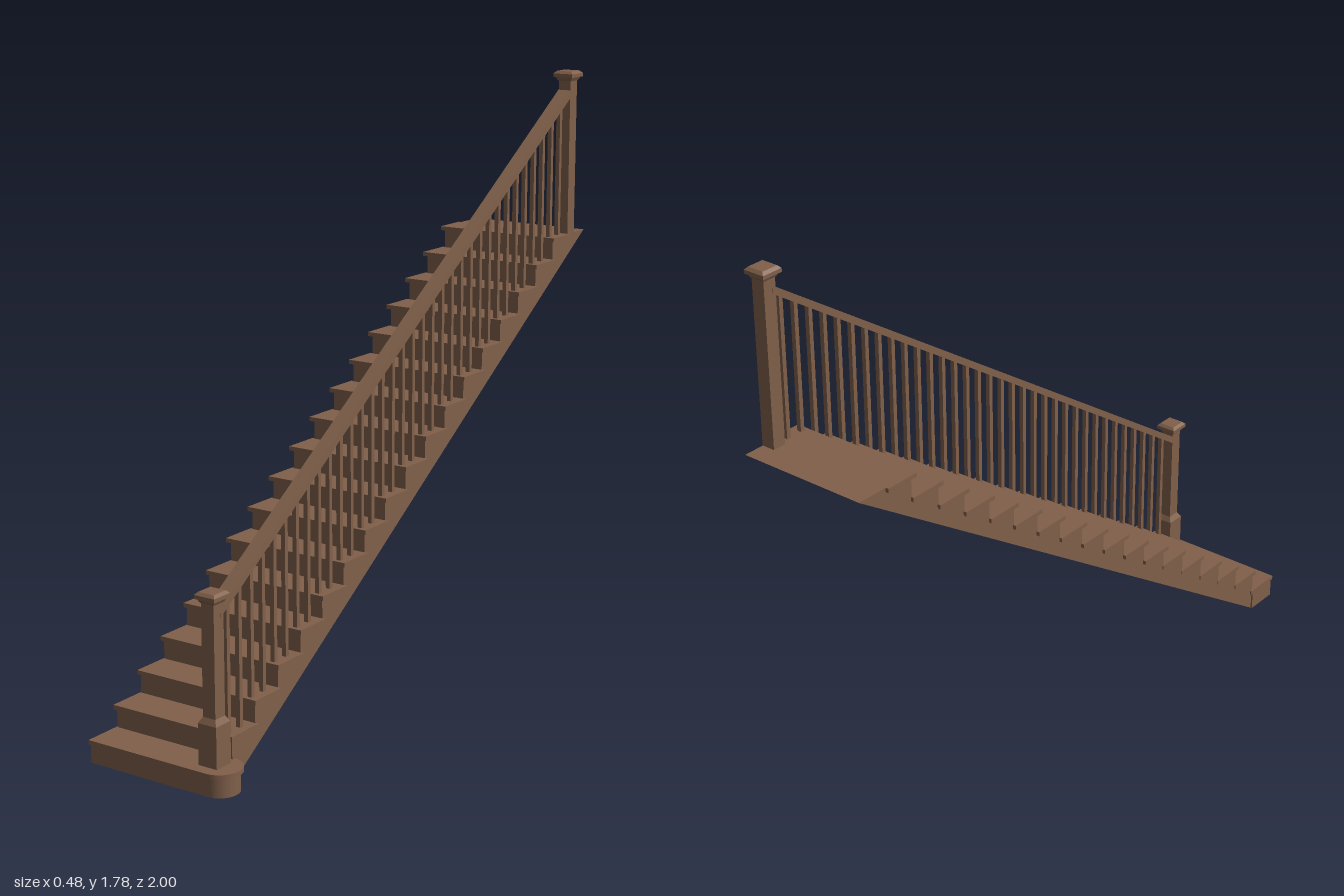
import * as THREE from 'three';

export function createModel() {
  const wood = new THREE.MeshStandardMaterial({ color: 0x80604a });
  wood.name = 'brown wood';
  const model = new THREE.Group();
  model.name = 'staircase';

  const STEPS = 18, RISE = 0.07, GO = 0.1053, NOSE = 0.011, THICK = 0.013;
  const RAIL_X = 0.15;
  const front = k => 0.895 - GO * (k - 2); // tread front edge of step k

  const add = (parent, name, geo, x = 0, y = 0, z = 0) => {
    const m = new THREE.Mesh(geo, wood);
    m.name = name;
    m.position.set(x, y, z);
    parent.add(m);
    return m;
  };
  const box = (parent, name, x0, x1, y0, y1, z0, z1) =>
    add(parent, name, new THREE.BoxGeometry(x1 - x0, y1 - y0, z1 - z0),
      (x0 + x1) / 2, (y0 + y1) / 2, (z0 + z1) / 2);

  // solid saw-tooth body with sloping underside, extruded across the width
  const pts = [[0.88, 0]];
  for (let k = 2; k <= STEPS; k++) {
    const z = front(k) - NOSE;
    if (k > 2) pts.push([z, RISE * (k - 1) - THICK / 2]);
    pts.push([z, RISE * k - THICK / 2]);
  }
  pts.push([-0.9, RISE * STEPS - THICK / 2], [-0.9, RISE * STEPS], [-1, RISE * STEPS]);
  const profile = new THREE.Shape(pts.map(([z, y]) => new THREE.Vector2(-z, y)));
  const bodyGeo = new THREE.ExtrudeGeometry(profile, { depth: 0.405, bevelEnabled: false });
  bodyGeo.rotateY(Math.PI / 2); // shape x becomes -z, depth becomes +x
  add(model, 'stairBody', bodyGeo, -0.235);

  // treads; the lowest ones stop flush at the wall side
  const treads = new THREE.Group();
  treads.name = 'treads';
  model.add(treads);
  for (let k = 2; k <= STEPS; k++) {
    const f = front(k), y = RISE * k;
    const back = k === STEPS ? -0.9 : f - 0.12;
    box(treads, 'tread', k <= 6 ? -0.238 : -0.245, 0.18, y - THICK, y, back, f);
  }

  // bottom step with a rounded end
  const roundedSlab = (inset, y0, y1) => {
    const r = 0.064 - inset, s = new THREE.Shape();
    s.moveTo(-0.24, -r);
    s.lineTo(0.171, -r);
    s.absarc(0.171, 0, r, -Math.PI / 2, Math.PI / 2, false);
    s.lineTo(-0.24, r);
    s.closePath();
    const g = new THREE.ExtrudeGeometry(s, { depth: y1 - y0, bevelEnabled: false, curveSegments: 16 });
    g.rotateX(-Math.PI / 2);
    return g.translate(0, y0, 0.936);
  };
  add(model, 'bottomStepRiser', roundedSlab(0.009, 0, RISE - THICK));
  add(model, 'bottomStepTread', roundedSlab(0, RISE - THICK, RISE));

  // square frustum with half-widths at bottom and top
  const frustum = (h0, h1, height) => {
    const g = new THREE.CylinderGeometry(h1 * Math.SQRT2, h0 * Math.SQRT2, height, 4, 1).toNonIndexed();
    g.rotateY(Math.PI / 4);
    g.computeVertexNormals();
    return g;
  };
  // newel post as stacked square sections: [y0, y1, half0, half1]
  const newel = (name, z, sections) => {
    const g = new THREE.Group();
    g.name = name;
    sections.forEach(([y0, y1, h0, h1, part]) =>
      add(g, part, frustum(h0, h1, y1 - y0), RAIL_X, (y0 + y1) / 2, z));
    model.add(g);
  };
  const cap = top => [
    [top - 0.031, top - 0.019, 0.023, 0.029, 'capMoulding'],
    [top - 0.019, top - 0.008, 0.034, 0.034, 'capPlate'],
    [top - 0.008, top, 0.034, 0.026, 'capTop'],
  ];
  newel('bottomNewel', 0.933, [
    [RISE, 0.19, 0.031, 0.031, 'newelBase'],
    [0.19, 0.207, 0.031, 0.021, 'newelShoulder'],
    [0.207, 0.53, 0.021, 0.021, 'newelShaft'],
    ...cap(0.558),
  ]);
  newel('topNewel', -0.913, [
    [1.25, 1.75, 0.021, 0.021, 'newelShaft'],
    ...cap(1.778),
  ]);

  // sloping handrail between the newels
  const slope = RISE / GO;
  const railY = z => 0.507 + (0.912 - z) * slope;
  const z0 = 0.925, z1 = -0.905, h = 0.012;
  const railShape = new THREE.Shape([
    [z0, railY(z0) - h], [z1, railY(z1) - h], [z1, railY(z1) + h], [z0, railY(z0) + h],
  ].map(([z, y]) => new THREE.Vector2(-z, y)));
  const railGeo = new THREE.ExtrudeGeometry(railShape, { depth: 0.044, bevelEnabled: false });
  railGeo.rotateY(Math.PI / 2);
  add(model, 'handrail', railGeo, RAIL_X - 0.022);

  // two square balusters on every tread
  const balusters = new THREE.Group();
  balusters.name = 'balusters';
  model.add(balusters);
  const w = 0.0068;
  for (let k = 2; k <= STEPS; k++) {
    for (const d of [0.02, 0.02 + GO / 2]) {
      const z = front(k) - d;
      box(balusters, 'baluster', RAIL_X - w, RAIL_X + w, RISE * k - 0.004, railY(z), z - w, z + w);
    }
  }
  return model;
}
